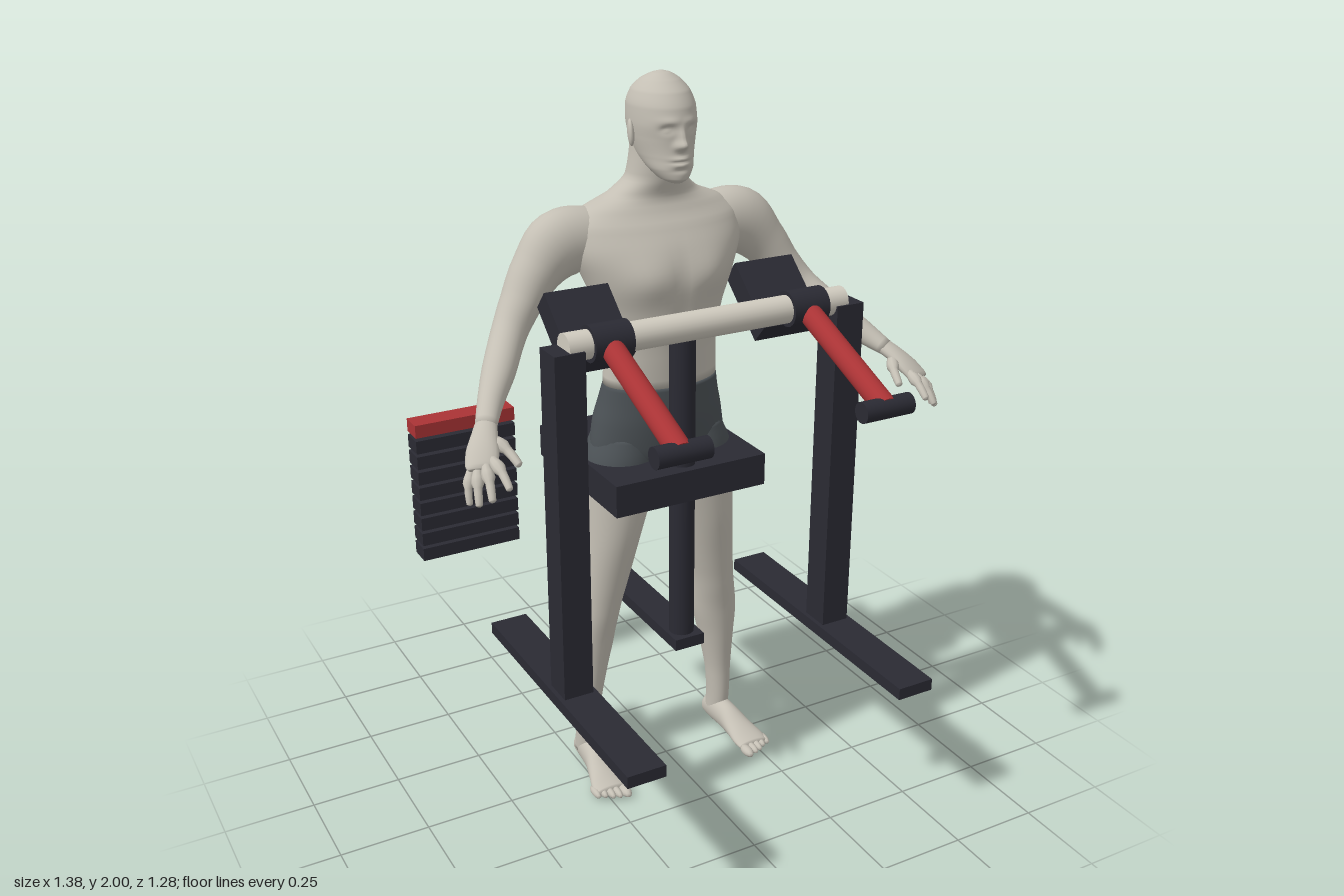
import * as THREE from 'three';

const mat = (name, color) => {
  const m = new THREE.MeshStandardMaterial({ color });
  m.name = name;
  return m;
};
const Y = new THREE.Vector3(0, 1, 0), Z = new THREE.Vector3(0, 0, 1), DOWN = new THREE.Vector3(0, -1, 0);

// Smooth tube through stations [x, y, z, radiusU, radiusV]; axis fixes the ring plane
// (pointing the way the stations run), rule moves vertices
function loft(stations, { ref = Y, axis = null, segs = 28, steps = 5, rule = null } = {}) {
  const path = new THREE.CatmullRomCurve3(stations.map(s => new THREE.Vector3(s[0], s[1], s[2])));
  const size = new THREE.CatmullRomCurve3(stations.map(s => new THREE.Vector3(s[3], s[4], 0)));
  const n = (stations.length - 1) * steps, pos = [], idx = [];
  const put = p => { if (rule) rule(p); pos.push(p.x, p.y, p.z); };
  for (let i = 0; i <= n; i++) {
    const c = path.getPoint(i / n), r = size.getPoint(i / n);
    const t = axis || path.getTangent(i / n);
    const u = new THREE.Vector3().crossVectors(t, ref).normalize();
    const v = new THREE.Vector3().crossVectors(u, t).normalize();
    for (let j = 0; j < segs; j++) {
      const a = j / segs * Math.PI * 2;
      put(c.clone().addScaledVector(u, r.x * Math.cos(a)).addScaledVector(v, r.y * Math.sin(a)));
    }
  }
  put(path.getPoint(0));
  put(path.getPoint(1));
  const first = (n + 1) * segs;
  for (let j = 0; j < segs; j++) {
    const k = (j + 1) % segs;
    for (let i = 0; i < n; i++) {
      const a = i * segs + j, b = a + segs, c = i * segs + k, d = c + segs;
      idx.push(a, b, c, b, d, c);
    }
    idx.push(first, j, k, first + 1, n * segs + k, n * segs + j);
  }
  const g = new THREE.BufferGeometry();
  g.setAttribute('position', new THREE.Float32BufferAttribute(pos, 3));
  g.setIndex(idx);
  g.computeVertexNormals();
  return g;
}

// Upright section [y, halfWidth, zFront, zBack] to a loft station
const section = ([y, w, f, b]) => [0, y, (f + b) / 2, w, (f - b) / 2];
const bump = (p, x, y, sx, sy) => Math.exp(-(((Math.abs(p.x) - x) / sx) ** 2) - ((p.y - y) / sy) ** 2);

export function createModel() {
  const root = new THREE.Group();
  root.name = 'exerciseMachineWithFigure';
  const skin = mat('skin', 0xc4bfb4), shortsMat = mat('shorts', 0x4c5256);
  const dark = mat('darkFrame', 0x2a2a33), red = mat('red', 0xaa3335), pale = mat('paleBar', 0xd0cbbf);

  const group = name => {
    const g = new THREE.Group();
    g.name = name;
    root.add(g);
    return g;
  };
  const add = (parent, name, geo, m, x = 0, y = 0, z = 0) => {
    const mesh = new THREE.Mesh(geo, m);
    mesh.name = name;
    mesh.position.set(x, y, z);
    parent.add(mesh);
    return mesh;
  };
  const box = (w, h, d) => new THREE.BoxGeometry(w, h, d);
  const rod = (r, len) => new THREE.CylinderGeometry(r, r, len, 24);

  // ---- Machine ----
  const machine = group('machine');
  add(machine, 'seat', box(0.454, 0.09, 0.48), dark, 0, 0.935, -0.093);
  add(machine, 'centreFoot', box(0.09, 0.033, 0.465), dark, 0, 0.45, -0.093);
  add(machine, 'centrePost', rod(0.035, 0.93), dark, 0, 0.925, 0.09);
  add(machine, 'crossBar', rod(0.037, 0.8), pale, 0, 1.413, 0.222).rotation.z = Math.PI / 2;
  for (const s of [1, -1]) {
    add(machine, 'footRail', box(0.106, 0.033, 0.84), dark, s * 0.403, 0.45, 0.22);
    add(machine, 'upright', box(0.082, 0.95, 0.084), dark, s * 0.403, 0.935, 0.222);
    add(machine, 'collar', rod(0.047, 0.106), dark, s * 0.283, 1.413, 0.222).rotation.z = Math.PI / 2;
    add(machine, 'pad', box(0.177, 0.066, 0.203), dark, s * 0.276, 1.402, 0.09).rotation.x = 0.73;
    const arm = add(machine, 'leverArm', rod(0.03, 0.4), red, s * 0.285, 1.336, 0.406);
    arm.quaternion.setFromUnitVectors(Y, new THREE.Vector3(0, -0.155, 0.368).normalize());
    add(machine, 'handle', rod(0.027, 0.142), dark, s * 0.284, 1.258, 0.59).rotation.z = Math.PI / 2;
  }

  // ---- Weight stack ----
  const stack = group('weightStack');
  for (let i = 0; i < 9; i++) {
    add(stack, i ? 'weightPlate' : 'topPlate', box(0.312, 0.04, 0.07), i ? dark : red, -0.361, 0.928 - i * 0.05, -0.608);
  }

  // ---- Figure ----
  const figure = group('figure');
  const upright = { ref: Z, axis: Y }, downward = { ref: Z, axis: DOWN };

  // Trunk from hips to neck, with chest, spine, shoulder blade and buttock forms
  const trunk = [
    [0.92, 0.14, 0.03, -0.13], [1.0, 0.2, 0.055, -0.155], [1.08, 0.19, 0.065, -0.165],
    [1.14, 0.175, 0.067, -0.155], [1.19, 0.165, 0.066, -0.138], [1.3, 0.16, 0.074, -0.14],
    [1.4, 0.18, 0.086, -0.157], [1.48, 0.212, 0.09, -0.172], [1.56, 0.245, 0.07, -0.18],
    [1.62, 0.245, 0.036, -0.177], [1.66, 0.2, 0.01, -0.166], [1.69, 0.128, 0.002, -0.152],
    [1.735, 0.079, 0.014, -0.134], [1.79, 0.071, 0.02, -0.124], [1.84, 0.068, 0.02, -0.118],
  ].map(section);
  const trunkRule = p => {
    if (p.z > 0) {
      p.z += 0.016 * bump(p, 0.09, 1.495, 0.07, 0.055) - 0.006 * bump(p, 0, 1.38, 0.015, 0.14);
    } else if (p.z < -0.07) {
      p.z += 0.015 * bump(p, 0, 1.4, 0.028, 0.17) - 0.012 * bump(p, 0.1, 1.57, 0.05, 0.08);
      p.z += 0.03 * bump(p, 0, 1.04, 0.02, 0.08) - 0.022 * bump(p, 0.085, 1.06, 0.06, 0.06);
    }
  };
  const trunkOpts = { ...upright, segs: 56, rule: trunkRule };
  add(figure, 'shortsTop', loft(trunk.slice(0, 5), trunkOpts), shortsMat);
  add(figure, 'torso', loft(trunk.slice(4), trunkOpts), skin);

  // Head with nose, brow, eye sockets, lips and cheeks
  const head = [
    [1.735, 0.018, 0.072, 0.02], [1.745, 0.037, 0.084, -0.01], [1.77, 0.057, 0.086, -0.05],
    [1.8, 0.069, 0.082, -0.1], [1.84, 0.079, 0.08, -0.125], [1.88, 0.084, 0.084, -0.137],
    [1.92, 0.083, 0.076, -0.135], [1.955, 0.071, 0.055, -0.117], [1.98, 0.049, 0.025, -0.085],
    [1.995, 0.024, -0.002, -0.05], [2.0, 0.004, -0.022, -0.03],
  ].map(section);
  const headRule = p => {
    if (p.z < 0.02) return;
    p.z += 0.024 * bump(p, 0, 1.832, 0.012, 0.013) + 0.014 * bump(p, 0, 1.852, 0.01, 0.018);
    p.z += 0.006 * bump(p, 0.014, 1.829, 0.008, 0.009) + 0.004 * bump(p, 0.03, 1.89, 0.025, 0.009);
    p.z -= 0.012 * bump(p, 0.034, 1.87, 0.015, 0.01) - 0.007 * bump(p, 0.034, 1.868, 0.009, 0.006);
    p.z += 0.008 * bump(p, 0, 1.797, 0.022, 0.006) + 0.007 * bump(p, 0, 1.783, 0.02, 0.006);
    p.z -= 0.005 * bump(p, 0, 1.79, 0.024, 0.003) + 0.004 * bump(p, 0, 1.769, 0.025, 0.006);
  };
  add(figure, 'head', loft(head, { ...upright, segs: 88, steps: 9, rule: headRule }), skin);

  const leg = [
    [0.105, 1.05, -0.055, 0.08, 0.09], [0.113, 0.98, -0.052, 0.103, 0.1], [0.12, 0.93, -0.047, 0.105, 0.098],
    [0.126, 0.88, -0.045, 0.1, 0.095], [0.148, 0.75, -0.045, 0.082, 0.086], [0.169, 0.62, -0.05, 0.07, 0.07],
    [0.186, 0.52, -0.055, 0.062, 0.06], [0.202, 0.42, -0.073, 0.065, 0.063], [0.211, 0.32, -0.077, 0.052, 0.057],
    [0.219, 0.2, -0.075, 0.037, 0.043], [0.222, 0.1, -0.077, 0.032, 0.041], [0.222, 0.04, -0.085, 0.031, 0.042],
  ];
  const foot = [
    [0.22, 0.032, -0.137, 0.014, 0.018], [0.22, 0.039, -0.118, 0.028, 0.034], [0.222, 0.046, -0.07, 0.032, 0.045],
    [0.226, 0.043, -0.015, 0.034, 0.043], [0.232, 0.031, 0.04, 0.042, 0.029], [0.237, 0.021, 0.085, 0.049, 0.019],
    [0.238, 0.016, 0.115, 0.046, 0.013],
  ];
  const arm = [
    [0.09, 1.565, -0.085, 0.055, 0.065], [0.19, 1.583, -0.087, 0.075, 0.082], [0.265, 1.575, -0.085, 0.074, 0.09],
    [0.337, 1.515, -0.075, 0.064, 0.068], [0.39, 1.445, -0.055, 0.054, 0.054], [0.436, 1.385, -0.025, 0.046, 0.048],
    [0.498, 1.32, 0.05, 0.043, 0.042], [0.552, 1.27, 0.12, 0.033, 0.032], [0.59, 1.235, 0.178, 0.027, 0.021],
  ];
  const palm = [
    [0.584, 1.24, 0.168, 0.026, 0.02], [0.603, 1.222, 0.2, 0.032, 0.019], [0.624, 1.195, 0.235, 0.04, 0.018],
    [0.638, 1.172, 0.262, 0.039, 0.014], [0.641, 1.165, 0.27, 0.032, 0.008],
  ];
  // Fingers as [knuckle, bend, tip, radius], thumb first
  const fingers = [
    [[0.592, 1.215, 0.205], [0.568, 1.195, 0.25], [0.556, 1.17, 0.292], 0.012],
    [[0.612, 1.185, 0.258], [0.607, 1.167, 0.31], [0.605, 1.14, 0.348], 0.011],
    [[0.63, 1.175, 0.265], [0.638, 1.148, 0.307], [0.644, 1.113, 0.335], 0.011],
    [[0.648, 1.167, 0.258], [0.662, 1.132, 0.292], [0.668, 1.096, 0.31], 0.0105],
    [[0.66, 1.162, 0.245], [0.677, 1.125, 0.268], [0.68, 1.09, 0.28], 0.0095],
  ];

  for (const s of [1, -1]) {
    const side = s > 0 ? 'left' : 'right';
    const flip = list => list.map(([x, ...rest]) => [s * x, ...rest]);
    add(figure, side + 'ShortsLeg', loft(flip(leg.slice(0, 3)), downward), shortsMat);
    add(figure, side + 'Leg', loft(flip(leg.slice(2)), downward), skin);
    add(figure, side + 'Foot', loft(flip(foot), { axis: Z }), skin);
    add(figure, side + 'Arm', loft(flip(arm)), skin);
    add(figure, side + 'Palm', loft(flip(palm), { segs: 20 }), skin);

    for (const [a, b, c, r] of fingers) {
      const tip = c.map((v, i) => v + (c[i] - b[i]) * 0.1);
      const stations = [[...a, r, r], [...b, r, r], [...c, r * 0.8, r * 0.8], [...tip, r * 0.3, r * 0.3]];
      add(figure, side + 'Finger', loft(flip(stations), { segs: 10, steps: 4 }), skin);
    }

    // Toes, big toe innermost
    for (let i = 0; i < 5; i++) {
      const toe = add(figure, side + 'Toe', new THREE.SphereGeometry(1, 12, 8), skin,
        s * (0.204 + i * 0.0185 + (i ? 0.004 : 0)), 0.014, 0.13 - i * 0.007 - (i > 2 ? 0.006 : 0));
      toe.scale.set(i ? 0.0105 : 0.015, i ? 0.012 : 0.014, 0.03);
    }

    const ear = add(figure, side + 'Ear', new THREE.SphereGeometry(1, 16, 12), skin, s * 0.085, 1.853, -0.028);
    ear.scale.set(0.009, 0.034, 0.019);
    ear.rotation.set(-0.15, s * 0.35, 0);
  }
  return root;
}
